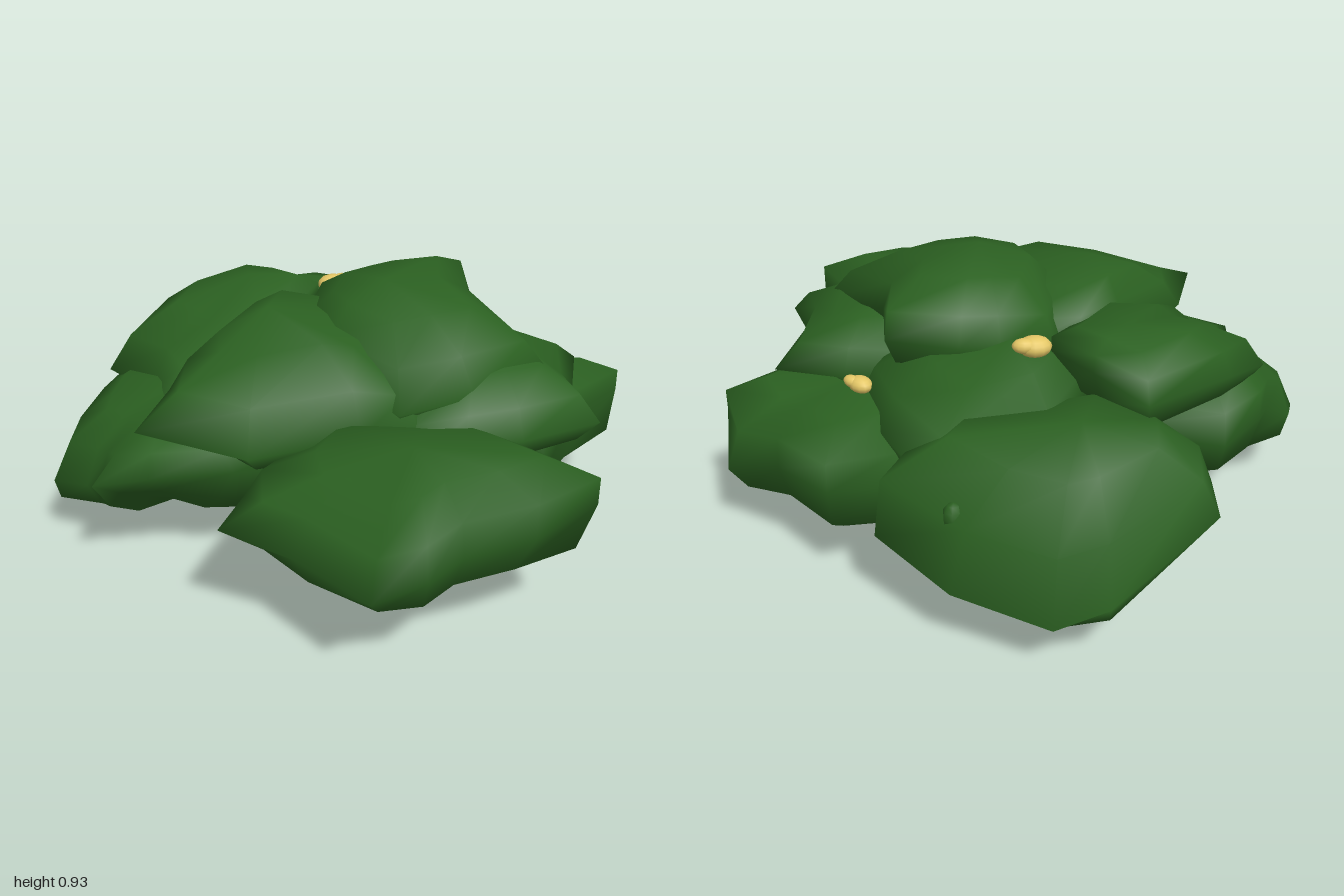
import * as THREE from 'three';

const material = (name, color) => {
  const m = new THREE.MeshStandardMaterial({ color });
  m.name = name;
  return m;
};

// Closed leafy blob: a rim loop of [x, z, y, upper, lower] domed up to one apex and down to another.
// upper and lower set the profile at that rim point: 0 round, 1 straight like a cone, negative boxy.
function clumpGeometry(rim, top, bottom) {
  const area = rim.reduce((s, [x, z], i) => {
    const [x2, z2] = rim[(i + 1) % rim.length];
    return s + x * z2 - x2 * z;
  }, 0);
  const loop = area < 0 ? rim : [...rim].reverse();
  const n = loop.length;
  const positions = [...top];
  const index = [];
  for (const degrees of [34, 62, 90, 118, 148]) {
    const a = THREE.MathUtils.degToRad(degrees);
    const isUpper = degrees <= 90;
    const apex = isUpper ? top : bottom;
    const straight = (isUpper ? degrees : 180 - degrees) / 90;
    for (const [x, z, y, upper = 0, lower = 0] of loop) {
      const k = isUpper ? upper : lower;
      const out = Math.min(1, THREE.MathUtils.lerp(Math.sin(a), straight, k));
      const rise = THREE.MathUtils.lerp(Math.abs(Math.cos(a)), 1 - straight, k);
      positions.push(
        apex[0] + (x - apex[0]) * out,
        y + (apex[1] - y) * rise,
        apex[2] + (z - apex[2]) * out
      );
    }
  }
  positions.push(...bottom);
  const last = 1 + 5 * n;
  for (let i = 0; i < n; i++) {
    const j = (i + 1) % n;
    index.push(0, 1 + i, 1 + j);
    for (let r = 0; r < 4; r++) {
      const a = 1 + r * n + i, b = 1 + r * n + j;
      index.push(a, a + n, b, b, a + n, b + n);
    }
    index.push(last, 1 + 4 * n + j, 1 + 4 * n + i);
  }
  const g = new THREE.BufferGeometry();
  g.setAttribute('position', new THREE.Float32BufferAttribute(positions, 3));
  g.setIndex(index);
  g.computeVertexNormals();
  return g;
}

export function createModel() {
  const model = new THREE.Group();
  model.name = 'bush';
  const leaf = material('leaf green', 0x2b6021);
  const bark = material('dark bark', 0x2d221b);
  const petal = material('pale yellow', 0xe4c766);

  const add = (name, geometry, mat, parent = model) => {
    const mesh = new THREE.Mesh(geometry, mat);
    mesh.name = name;
    parent.add(mesh);
    return mesh;
  };
  const clump = (name, top, bottom, rim) => add(name, clumpGeometry(rim, top, bottom), leaf);

  // Lower ring of foliage
  clump('lowerBackRightClump', [-0.64, 0.66, -0.3], [-0.65, 0.15, -0.3], [
    [-1, -0.08, 0.41, 0.1, 0.5], [-0.93, -0.45, 0.22, 0, -0.5], [-0.87, -0.62, 0.2], [-0.58, -0.76, 0.23],
    [-0.27, -0.8, 0.29, -0.4], [-0.23, -0.65, 0.34, -0.5], [-0.2, -0.3, 0.36], [-0.35, 0.1, 0.33],
    [-0.73, 0.17, 0.28], [-0.82, 0.09, 0.38]]);
  clump('lowerFrontClump', [-0.33, 0.57, 0.5], [-0.35, 0.11, 0.5], [
    [-0.7, 0.3, 0.36, -0.3], [-0.68, 0.5, 0.38, -0.5], [-0.63, 0.6, 0.36, -0.5], [-0.62, 0.75, 0.28, 0, -0.3],
    [-0.54, 0.87, 0.24, 0.2, -0.4], [-0.38, 0.83, 0.28, 0.2], [-0.3, 0.83, 0.31, 0.2], [-0.17, 0.92, 0.41, 0.8, 0.9],
    [-0.06, 0.78, 0.43, 0.2, 0.8], [0.08, 0.55, 0.43, 0, 0.3], [0.14, 0.18, 0.32, -0.5, -0.2], [-0.3, 0.05, 0.35]]);
  clump('lowerLeftClump', [0.58, 0.635, 0.25], [0.5, 0.14, 0.2], [
    [0.3, 0.77, 0.42, 0.6, 0.6], [0.2, 0.6, 0.42, 0, 0.2], [0.14, 0.3, 0.34, -0.4], [0.32, -0.25, 0.22, 0, -0.5],
    [0.67, -0.18, 0.4, -0.3], [1, -0.12, 0.48, -0.8, -0.15], [0.96, 0.1, 0.43, -0.7, 0.1], [0.88, 0.32, 0.42, -0.3, 0.1],
    [0.9, 0.48, 0.42, -0.3, 0.1], [0.84, 0.64, 0.39, 0, 0.4], [0.5, 0.64, 0.36]]);
  clump('lowerBackClump', [0.2, 0.55, -0.5], [0.2, 0.1, -0.55], [
    [-0.15, -0.62, 0.33, -0.6, -0.5], [-0.1, -0.85, 0.38, -0.7, -0.2], [0.15, -0.87, 0.36, -0.5], [0.38, -0.93, 0.27, -0.1, 0.1],
    [0.49, -0.85, 0.42, -0.7, -0.4], [0.5, -0.6, 0.42, -0.8, -0.5], [0.55, -0.4, 0.32, -0.4, -0.4], [0.2, -0.27, 0.32],
    [-0.1, -0.35, 0.32]]);
  clump('innerCore', [0, 0.6, 0], [0, 0.18, 0], [
    [-0.42, 0, 0.32], [-0.28, -0.26, 0.32], [0, -0.35, 0.32], [0.28, -0.24, 0.3],
    [0.36, 0, 0.3], [0.26, 0.3, 0.3], [0, 0.36, 0.28], [-0.28, 0.28, 0.32]]);

  // Middle layer
  clump('middleBackClump', [-0.22, 0.75, -0.22], [-0.1, 0.32, -0.3], [
    [-0.42, -0.7, 0.5, 0.3], [-0.08, -0.63, 0.5], [0.15, -0.55, 0.5], [0.3, -0.3, 0.5],
    [0.1, 0, 0.5], [-0.4, 0, 0.55], [-0.52, -0.3, 0.5]]);
  clump('middleLeftClump', [0.35, 0.75, -0.28], [0.35, 0.38, -0.22], [
    [0.77, -0.4, 0.56, 0.3, 0.2], [0.6, -0.46, 0.56, 0.1], [0.4, -0.71, 0.56, 0.5, 0.8], [0.2, -0.57, 0.56],
    [0.05, -0.35, 0.52], [0.12, 0, 0.5], [0.34, 0.19, 0.46], [0.47, 0.16, 0.47],
    [0.58, 0.02, 0.52], [0.67, -0.15, 0.54]]);
  clump('middleRightClump', [-0.48, 0.805, 0.05], [-0.48, 0.46, 0.2], [
    [-0.7, -0.08, 0.65, -0.1], [-0.5, -0.12, 0.7, -0.4], [-0.33, -0.14, 0.72, -0.6], [-0.2, 0.2, 0.62, -0.4],
    [-0.22, 0.59, 0.55, 0.3], [-0.42, 0.52, 0.53, 0.2], [-0.62, 0.57, 0.54, 0.2], [-0.7, 0.3, 0.62, -0.1]]);

  // Crown
  clump('frontCrownClump', [-0.1, 0.865, 0.26], [0.05, 0.42, 0.2], [
    [-0.05, 0.82, 0.62, 1, 1], [-0.22, 0.58, 0.62, 0.4, 0.3], [-0.3, 0.2, 0.68], [-0.33, -0.02, 0.7],
    [-0.1, -0.2, 0.62], [0.3, -0.2, 0.58], [0.48, 0.1, 0.54], [0.36, 0.26, 0.57, -0.2],
    [0.2, 0.58, 0.54, 0.3]]);
  clump('topCrownClump', [0.1, 0.935, -0.07], [0.15, 0.55, -0.12], [
    [0, -0.54, 0.76, -0.4], [-0.17, -0.38, 0.74, -0.1], [-0.23, -0.26, 0.72], [-0.32, -0.1, 0.7, 0.2],
    [-0.1, 0.15, 0.68], [0.1, 0.2, 0.68], [0.43, 0.16, 0.64, 0.2], [0.52, -0.08, 0.66, 0.2],
    [0.58, -0.38, 0.66, 0.3], [0.2, -0.4, 0.76, -0.1]]);

  // Small leaf bump on the rear foliage
  const bump = add('leafBump', new THREE.SphereGeometry(0.04, 8, 6), leaf);
  bump.position.set(-0.52, 0.44, -0.69);
  bump.scale.set(0.9, 1.2, 0.9);

  // Four splayed stems, leaning in towards the middle
  for (let i = 0; i < 4; i++) {
    const a = (i * Math.PI) / 2;
    const foot = new THREE.Vector3(Math.cos(a) * 0.4 - 0.03, 0.03, Math.sin(a) * 0.4 - 0.02);
    const head = new THREE.Vector3(Math.cos(a) * 0.16 - 0.02, 0.5, Math.sin(a) * 0.16 - 0.02);
    const direction = head.clone().sub(foot);
    const stem = add('stem', new THREE.CylinderGeometry(0.03, 0.055, direction.length(), 8), bark);
    stem.position.copy(foot).add(head).multiplyScalar(0.5);
    stem.quaternion.setFromUnitVectors(new THREE.Vector3(0, 1, 0), direction.normalize());
  }

  // Two small blossoms, each a pair of soft buds
  for (const [x, y, z, size, turn] of [[-0.32, 0.75, -0.2, 1.1, 0.9], [0.12, 0.565, -0.56, 0.9, 0.2]]) {
    const blossom = new THREE.Group();
    blossom.name = 'blossom';
    blossom.position.set(x, y, z);
    blossom.rotation.y = turn;
    blossom.scale.setScalar(size);
    model.add(blossom);
    const bud = new THREE.SphereGeometry(0.045, 12, 8);
    add('largeBud', bud, petal, blossom).scale.set(1.1, 0.7, 0.85);
    const small = add('smallBud', bud, petal, blossom);
    small.position.set(0.03, 0.008, -0.012);
    small.scale.set(0.8, 0.5, 0.55);
  }
  return model;
}
